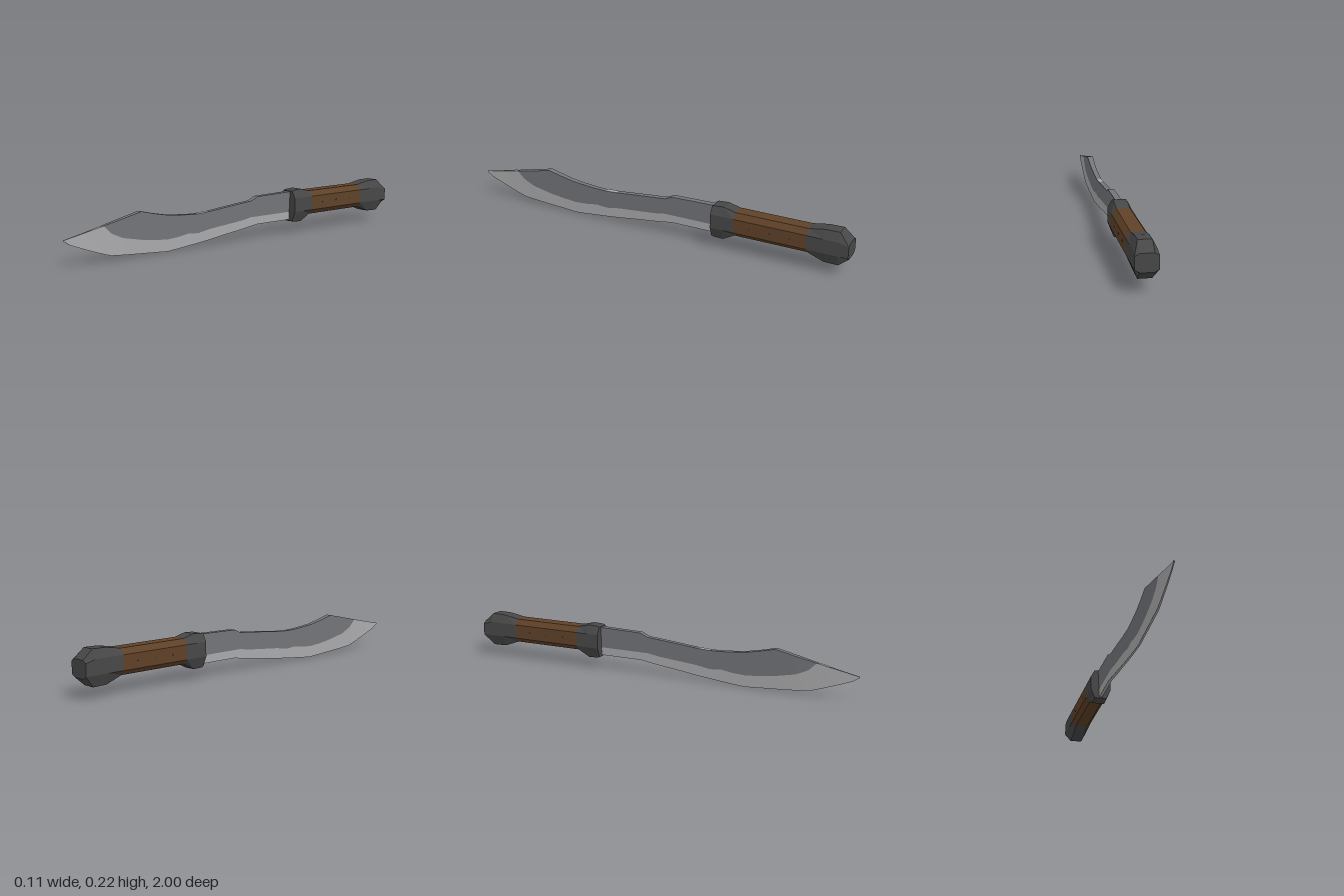
import * as THREE from 'three';

const mat = (name, color, side = THREE.FrontSide) => {
  const m = new THREE.MeshStandardMaterial({ color, side });
  m.name = name;
  return m;
};

// Skin between rings listed towards +z, each counterclockwise seen from +z
function loft(rings, closed, capped) {
  const pos = [];
  const tri = (a, b, c) => pos.push(...a, ...b, ...c);
  const n = rings[0].length;
  for (let i = 0; i + 1 < rings.length; i++) {
    for (let j = 0; j < (closed ? n : n - 1); j++) {
      const k = (j + 1) % n;
      const [a, b, c, d] = [rings[i][j], rings[i][k], rings[i + 1][k], rings[i + 1][j]];
      tri(a, b, c);
      tri(a, c, d);
    }
  }
  if (capped) {
    const back = rings[0], front = rings[rings.length - 1];
    for (let j = 1; j + 1 < n; j++) {
      tri(back[0], back[j + 1], back[j]);
      tri(front[0], front[j], front[j + 1]);
    }
  }
  const g = new THREE.BufferGeometry();
  g.setAttribute('position', new THREE.Float32BufferAttribute(pos, 3));
  g.computeVertexNormals(); // unshared corners give flat facets
  return g;
}

// Blade stations: z, spine y, colour border y, cutting edge y
const STATIONS = [
  [-0.34, 0.215, 0.11, 0.07], [-0.1, 0.21, 0.11, 0.07], [-0.06, 0.192, 0.11, 0.064],
  [0, 0.187, 0.1, 0.055], [0.1, 0.178, 0.091, 0.043], [0.2, 0.168, 0.082, 0.029],
  [0.27, 0.164, 0.07, 0.021], [0.33, 0.166, 0.075, 0.015], [0.39, 0.171, 0.066, 0.009],
  [0.45, 0.177, 0.062, 0.004], [0.52, 0.191, 0.068, 0.009], [0.6, 0.21, 0.079, 0.014],
  [0.7, 0.188, 0.1, 0.021], [0.76, 0.175, 0.127, 0.026], [0.8, 0.166, 0.166, 0.038],
  [0.9, 0.145, 0.145, 0.073], [0.97, 0.131, 0.131, 0.1], [1, 0.125, 0.125, 0.12],
];

// Half thickness: wedge shaped, thinning to the point
const half = (y, z) => (0.004 + 0.05 * y) * (1 - 0.75 * THREE.MathUtils.smoothstep(z, 0.65, 1));
const right = (y, z) => [half(y, z), y, z];
const left = (y, z) => [-half(y, z), y, z];

function spineY(z) {
  const i = STATIONS.findIndex((s) => s[0] >= z);
  const [a, b] = [STATIONS[i - 1], STATIONS[i]];
  return THREE.MathUtils.mapLinear(z, a[0], b[0], a[1], b[1]);
}

// Eight-sided handle section: z, bottom, lower side, upper side, top
const octagon = ([z, b, s, u, t]) => [
  [0.052, s, z], [0.052, u, z], [0.031, t, z], [-0.031, t, z],
  [-0.052, u, z], [-0.052, s, z], [-0.031, b, z], [0.031, b, z],
];

export function createModel() {
  const darkSteel = mat('dark steel', 0x74767a, THREE.DoubleSide);
  const brightSteel = mat('bright steel', 0xacacae, THREE.DoubleSide);
  const iron = mat('dark iron', 0x474747);
  const wood = mat('brown wood', 0x5f4128);
  const pin = mat('pin', 0x3a3a3a);

  const group = new THREE.Group();
  const add = (name, geometry, material, parent = group) => {
    const m = new THREE.Mesh(geometry, material);
    m.name = name;
    parent.add(m);
    return m;
  };

  // Blade: dark upper body and bright ground bevel
  const blade = new THREE.Group();
  blade.name = 'blade';
  group.add(blade);
  add('bladeBody', loft(STATIONS.map(([z, t, m]) =>
    [right(m, z), right(t, z), left(t, z), left(m, z)]), false, false), darkSteel, blade);
  add('bladeBevel', loft(STATIONS.map(([z, , m, b]) =>
    [left(m, z), left(b, z), right(b, z), right(m, z)]), false, false), brightSteel, blade);

  // Worn bright patches along the spine
  for (const [z0, z1] of [[0.21, 0.27], [0.81, 0.86]]) {
    add('spineWear', loft([z0, z1].map((z) => {
      const y = spineY(z), w = half(y, z);
      return [[w, y + 0.001, z], [-w, y + 0.001, z]];
    }), false, false), brightSteel, blade);
  }

  // Handle: pommel, grip and guard
  add('pommel', loft([
    [-1, 0.1, 0.112, 0.17, 0.182],
    [-0.95, 0.058, 0.113, 0.183, 0.225],
    [-0.88, 0.06, 0.113, 0.183, 0.224],
    [-0.8, 0.09, 0.113, 0.183, 0.21],
  ].map(octagon), true, true), iron);
  add('grip', loft([
    [-0.8, 0.09, 0.113, 0.183, 0.21],
    [-0.44, 0.09, 0.113, 0.183, 0.21],
  ].map(octagon), true, true), wood);
  add('guard', loft([
    [-0.44, 0.09, 0.113, 0.183, 0.21],
    [-0.38, 0.058, 0.113, 0.183, 0.225],
    [-0.33, 0.06, 0.113, 0.183, 0.222],
    [-0.32, 0.064, 0.113, 0.183, 0.218],
  ].map(octagon), true, true), iron);

  // Small pins on both sides of the grip
  const pinShape = new THREE.CylinderGeometry(0.005, 0.005, 0.003, 8).rotateZ(Math.PI / 2);
  for (const side of [-1, 1]) {
    for (const z of [-0.72, -0.62, -0.52]) {
      add('gripPin', pinShape, pin).position.set(side * 0.0515, 0.148, z);
    }
  }
  return group;
}
